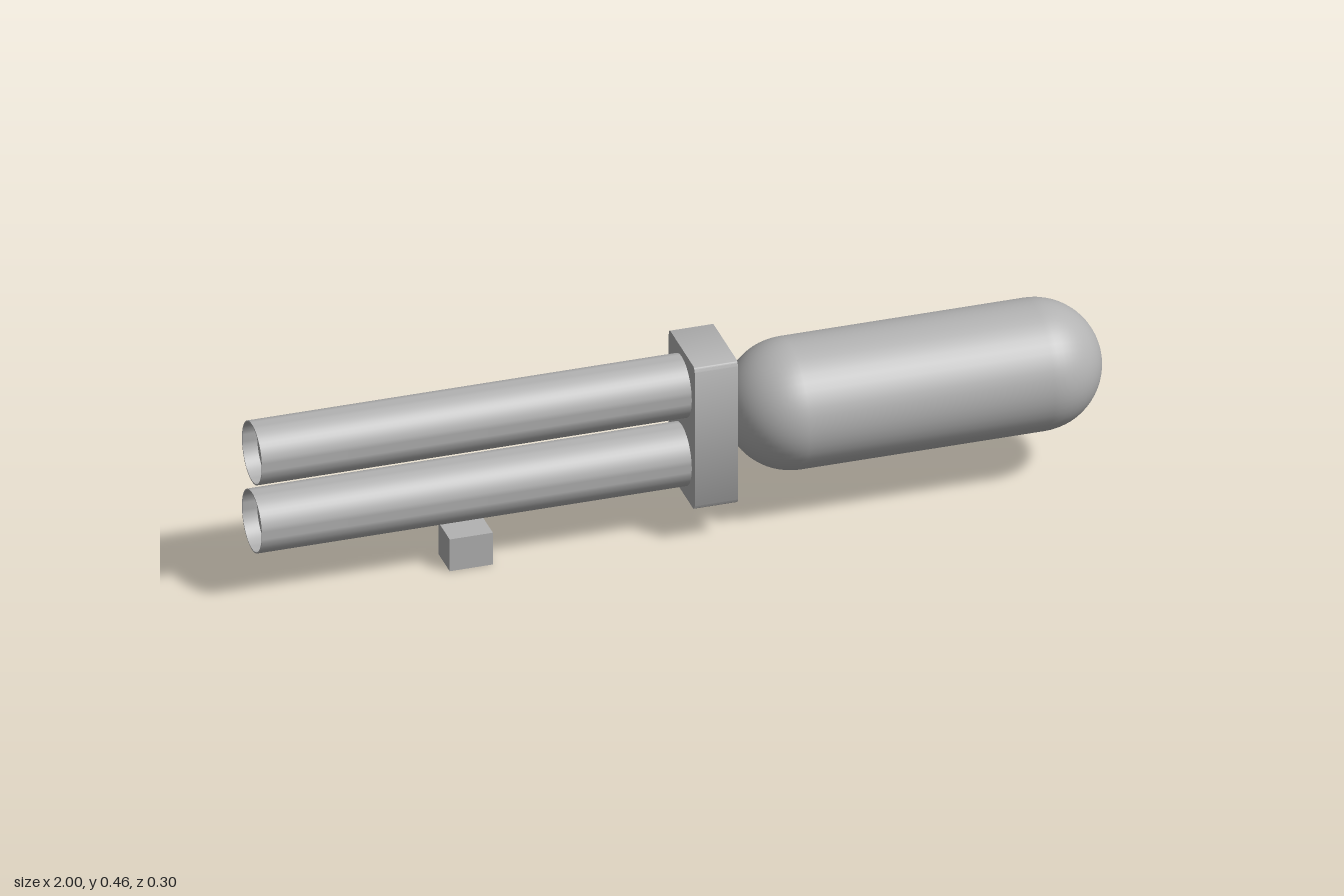
import * as THREE from 'three';
import { toCreasedNormals } from 'three/addons/utils/BufferGeometryUtils.js';

export function createModel() {
  const model = new THREE.Group();
  const grey = new THREE.MeshStandardMaterial({ color: 0xb3b3b3 });
  grey.name = 'grey';

  const add = (name, geometry, x, y) => {
    const mesh = new THREE.Mesh(geometry, grey);
    mesh.name = name;
    mesh.position.set(x, y, 0);
    model.add(mesh);
    return mesh;
  };

  // Two stacked barrels with a thin rim and a recessed end, pointing to -x
  const radius = 0.074, bore = 0.071, length = 1.02, recess = 0.035;
  const profile = [
    [0, 0], [radius, 0], [radius, length], [bore, length],
    [bore, length - recess], [0, length - recess],
  ].map(([r, h]) => new THREE.Vector2(r, h));
  const barrel = toCreasedNormals(new THREE.LatheGeometry(profile, 48), 0.6);
  barrel.rotateZ(Math.PI / 2);
  add('upperBarrel', barrel, 0.02, 0.362);
  add('lowerBarrel', barrel, 0.02, 0.186);

  // Receiver block, a plate with rounded corners in its y-z outline
  const w = 0.096, h = 0.184, c = 0.014;
  const outline = new THREE.Shape();
  [[w - c, h - c, 0], [c - w, h - c, 1], [c - w, c - h, 2], [w - c, c - h, 3]].forEach(([x, y, q]) =>
    outline.absarc(x, y, c, q * Math.PI / 2, (q + 1) * Math.PI / 2, false));
  const block = new THREE.ExtrudeGeometry(outline, { depth: 0.102, bevelEnabled: false, curveSegments: 6 });
  block.rotateY(Math.PI / 2);
  add('receiver', toCreasedNormals(block, 0.6), 0.015, 0.273);

  // Round-ended stock
  const stock = new THREE.CapsuleGeometry(0.152, 0.578, 16, 48);
  stock.rotateZ(Math.PI / 2);
  add('stock', stock, 0.559, 0.273);

  // Small separate block beneath the barrels
  add('lowerBlock', new THREE.BoxGeometry(0.102, 0.082, 0.081), -0.495, 0.041);

  return model;
}
